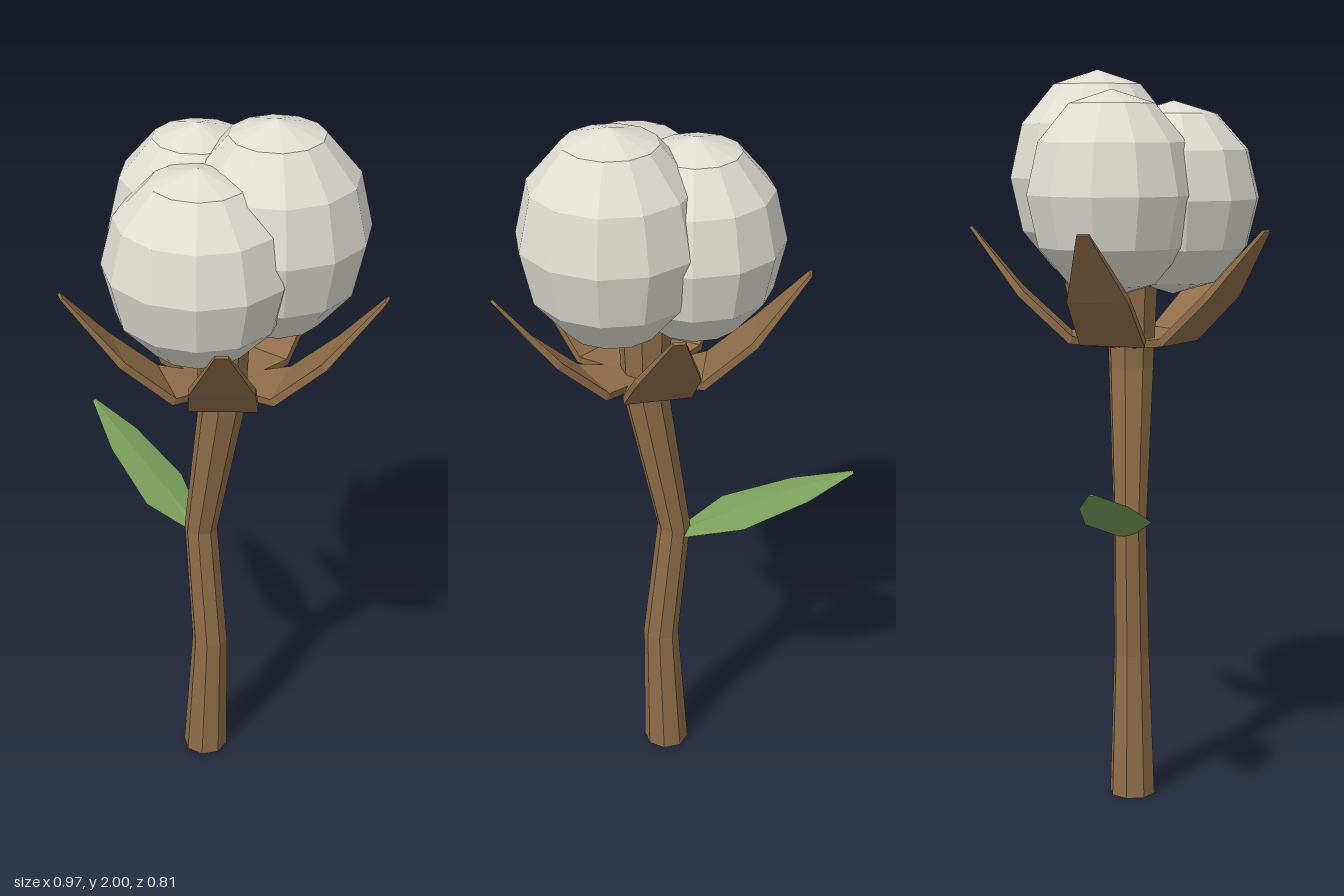
import * as THREE from 'three';

const mat = (name, color) => {
  const m = new THREE.MeshStandardMaterial({ color, flatShading: true });
  m.name = name;
  return m;
};

// Joins rings of points (counterclockwise seen from the far end) into a closed faceted solid
function loft(rings) {
  const pos = [];
  const n = rings[0].length;
  const tri = (a, b, c) => pos.push(...a, ...b, ...c);
  for (let i = 0; i < rings.length - 1; i++) {
    for (let j = 0; j < n; j++) {
      const k = (j + 1) % n;
      const [a, b, c, d] = [rings[i][j], rings[i][k], rings[i + 1][k], rings[i + 1][j]];
      tri(a, b, c);
      tri(a, c, d);
    }
  }
  const first = rings[0], last = rings[rings.length - 1];
  for (let j = 1; j < n - 1; j++) {
    tri(first[0], first[j + 1], first[j]);
    tri(last[0], last[j], last[j + 1]);
  }
  const g = new THREE.BufferGeometry();
  g.setAttribute('position', new THREE.Float32BufferAttribute(pos, 3));
  g.computeVertexNormals();
  return g;
}

export function createModel() {
  const group = new THREE.Group();
  const bark = mat('bark brown', 0x8f6d49);
  const cotton = mat('cotton white', 0xe0ddd4);
  const green = mat('leaf green', 0x7a9f5c);

  const add = (name, geometry, material, parent = group) => {
    const mesh = new THREE.Mesh(geometry, material);
    mesh.name = name;
    parent.add(mesh);
    return mesh;
  };

  // Crooked eight-sided stem: x, y, z, radius
  const stemPath = [
    [0.005, 0, 0.03, 0.064],
    [0.02, 0.4, 0.03, 0.05],
    [-0.015, 0.77, 0.02, 0.046],
    [0.06, 1.2, 0.033, 0.063],
    [0.062, 1.5, 0.035, 0.075],
  ];
  add('stem', loft(stemPath.map(([x, y, z, r]) =>
    Array.from({ length: 8 }, (_, i) => {
      const a = (i + 0.5) * Math.PI / 4;
      return [x + r * Math.cos(a), y, z - r * Math.sin(a)];
    }))), bark);

  // Five sepals spread around the stem top: reach, height, half width, thickness
  const calyx = new THREE.Group();
  calyx.name = 'calyx';
  calyx.position.set(0.062, 0, 0.027);
  group.add(calyx);
  const sepalPath = [
    [0, 1.25, 0.03, 0.02],
    [0.165, 1.272, 0.09, 0.022],
    [0.3, 1.4, 0.083, 0.02],
    [0.43, 1.58, 0.016, 0.008],
  ];
  const tilt = [0.1, 0.45, 0.85, 0.95];
  const sepalGeometry = loft(sepalPath.map(([r, y, w, t], i) => {
    const tr = r - Math.sin(tilt[i]) * t, ty = y + Math.cos(tilt[i]) * t;
    return [[r, y, -w], [tr, ty, -w], [tr, ty, w], [r, y, w]];
  }));
  for (let i = 0; i < 5; i++) {
    const sepal = add('sepal', sepalGeometry, bark, calyx);
    sepal.rotation.y = THREE.MathUtils.degToRad(12.6 - 72 * i);
  }

  // Three faceted cotton bolls: centre, radii, turn in degrees
  const bolls = [
    ['leftBoll', [0.168, 1.71, -0.045], [0.244, 0.29, 0.243], 6],
    ['rightBoll', [-0.055, 1.672, -0.035], [0.232, 0.273, 0.232], 10],
    ['frontBoll', [0.06, 1.657, 0.148], [0.245, 0.26, 0.237], 0],
  ];
  const bollGeometry = new THREE.SphereGeometry(1, 12, 6);
  for (const [name, centre, radii, turn] of bolls) {
    const boll = add(name, bollGeometry, cotton);
    boll.position.set(...centre);
    boll.scale.set(...radii);
    boll.rotation.y = THREE.MathUtils.degToRad(turn);
  }

  // Thin ridged leaf: x, back edge z, front edge z, half thickness
  const leafPath = [
    [-0.03, -0.02, 0.03, 0.008],
    [-0.17, -0.122, 0.058, 0.01],
    [-0.345, -0.156, -0.026, 0.008],
    [-0.48, -0.147, -0.131, 0.003],
  ];
  add('leaf', loft(leafPath.map(([x, z0, z1, t]) => {
    const y = 0.755 - (x + 0.05) * 0.455;
    const mid = (z0 + z1) / 2;
    return [[x, y - t, mid], [x, y, z1], [x, y + t, mid], [x, y, z0]];
  })), green);

  return group;
}
